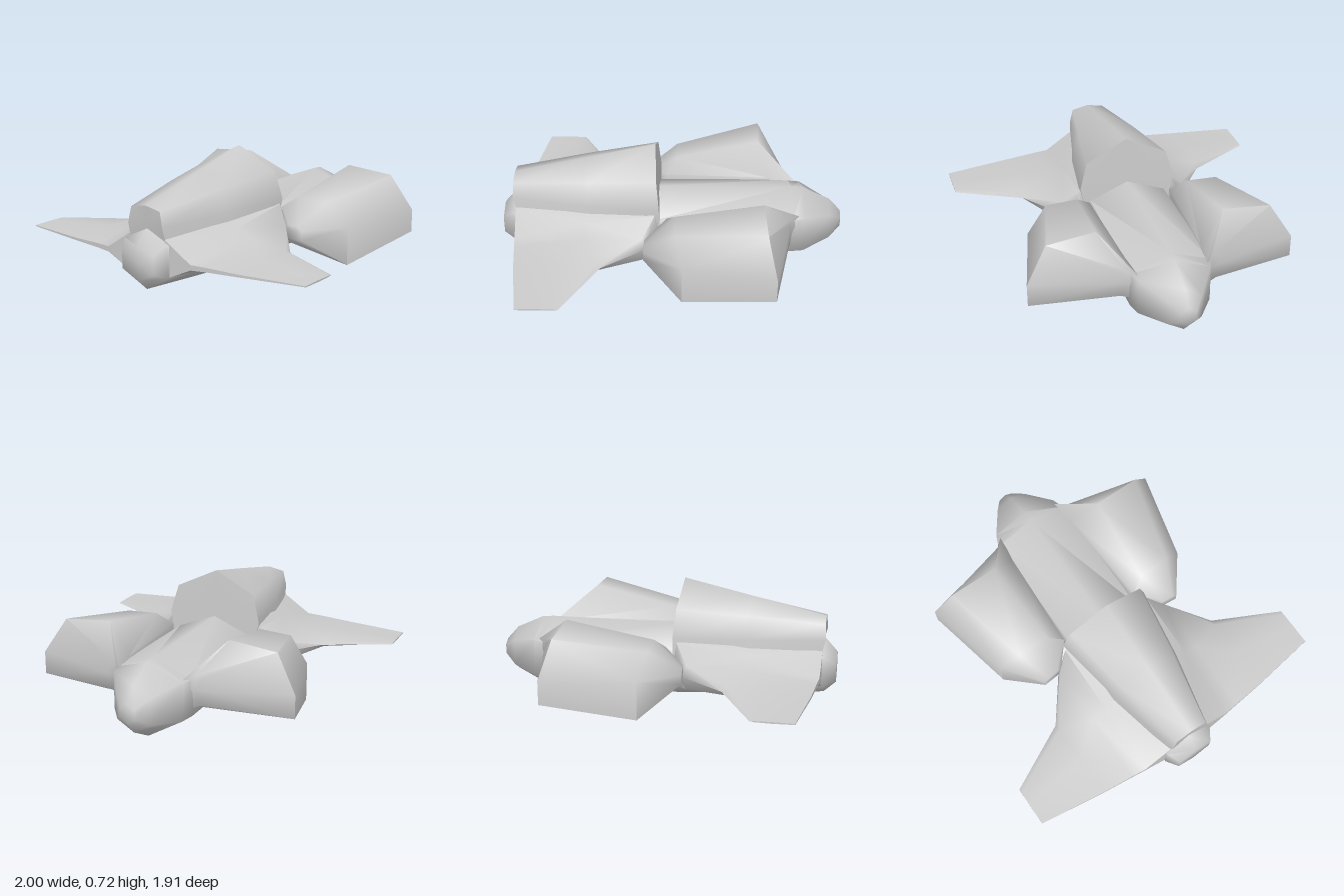
import * as THREE from 'three';
import { toCreasedNormals } from 'three/addons/utils/BufferGeometryUtils.js';

const material = new THREE.MeshStandardMaterial({ color: 0xcccccc });

// Closed skin through rings of [x, y, z] points; side = -1 mirrors it in z.
function loft(name, rings, side = 1, crease = 1.2) {
  const n = rings[0].length;
  const points = rings.flat().map(([x, y, z]) => new THREE.Vector3(x, y, z * side));
  let faces = [];
  for (let r = 0; r < rings.length - 1; r++) {
    for (let i = 0; i < n; i++) {
      const a = r * n + i, b = r * n + (i + 1) % n;
      faces.push([a, b, a + n], [b, b + n, a + n]);
    }
  }
  // End caps as fans around their centres
  const cap = (start, flip) => {
    const centre = new THREE.Vector3();
    for (let i = 0; i < n; i++) centre.addScaledVector(points[start + i], 1 / n);
    const c = points.push(centre) - 1;
    for (let i = 0; i < n; i++) {
      const a = start + i, b = start + (i + 1) % n;
      faces.push(flip ? [c, b, a] : [c, a, b]);
    }
  };
  cap(0, true);
  cap((rings.length - 1) * n, false);

  // Turn the skin outwards if its signed volume is negative
  let volume = 0;
  for (const [a, b, c] of faces) volume += points[a].dot(points[b].clone().cross(points[c]));
  if (volume < 0) faces = faces.map(([a, b, c]) => [a, c, b]);

  const geometry = new THREE.BufferGeometry().setFromPoints(points);
  geometry.setIndex(faces.flat());
  const mesh = new THREE.Mesh(toCreasedNormals(geometry, crease), material);
  mesh.name = name;
  return mesh;
}

// Six-sided fuselage section: ridge, keel and two shoulders
const hullRing = (x, top, shoulder, lower, keel, w) => [
  [x, top, 0], [x, shoulder, w], [x, lower, w],
  [x, keel, 0], [x, lower, -w], [x, shoulder, -w],
];

// Hood section, leaning with x per level
const hoodRing = (ridge, edge, flank, foot) => {
  const half = [edge, flank, foot];
  return [ridge, ...half, ...half.map(([x, y, z]) => [x, y, -z]).reverse()];
};

// Wing section at a given span: nose, upper, trailing and lower points
const wingRing = (z, points) => points.map(([x, y]) => [x, y, z]);

export function createModel() {
  const model = new THREE.Group();
  model.name = 'spacecraft';

  model.add(loft('fuselage', [
    hullRing(-1, 0.32, 0.28, 0.18, 0.13, 0.11),
    hullRing(-0.93, 0.4, 0.33, 0.15, 0.065, 0.15),
    hullRing(-0.5, 0.42, 0.34, 0.15, 0.03, 0.2),
    hullRing(-0.08, 0.44, 0.35, 0.14, 0, 0.23),
    hullRing(0.7, 0.44, 0.35, 0.14, 0, 0.235),
    hullRing(0.77, 0.435, 0.35, 0.13, 0.005, 0.21),
    hullRing(0.93, 0.36, 0.3, 0.15, 0.09, 0.1),
    hullRing(1, 0.28, 0.255, 0.2, 0.17, 0.045),
  ]));

  // Tall hood over the rear body
  model.add(loft('hood', [
    hoodRing([-0.93, 0.53, 0], [-0.93, 0.51, 0.1], [-0.935, 0.42, 0.12], [-0.89, 0.25, 0.13]),
    hoodRing([-0.5, 0.63, 0], [-0.5, 0.56, 0.18], [-0.5, 0.43, 0.22], [-0.5, 0.25, 0.24]),
    hoodRing([-0.1, 0.72, 0], [-0.09, 0.6, 0.245], [-0.075, 0.44, 0.29], [-0.07, 0.25, 0.25]),
  ]));

  for (const side of [1, -1]) {
    const sideName = side > 0 ? 'front' : 'rear';

    // Swept wing, thick at the root and thin at the tip
    model.add(loft(sideName + 'SideWing', [
      wingRing(0.12, [[-0.08, 0.3], [-0.1, 0.45], [-0.5, 0.42], [-0.92, 0.36], [-0.92, 0.14], [-0.5, 0.1], [-0.1, 0.1]]),
      wingRing(0.29, [[-0.08, 0.28], [-0.1, 0.41], [-0.5, 0.36], [-0.915, 0.25], [-0.915, 0.22], [-0.5, 0.15], [-0.1, 0.15]]),
      wingRing(0.38, [[-0.15, 0.24], [-0.17, 0.31], [-0.5, 0.31], [-0.905, 0.25], [-0.905, 0.225], [-0.5, 0.18], [-0.17, 0.17]]),
      wingRing(0.57, [[-0.4, 0.24], [-0.44, 0.26], [-0.65, 0.265], [-0.885, 0.245], [-0.885, 0.23], [-0.65, 0.215], [-0.44, 0.22]]),
      wingRing(0.955, [[-0.595, 0.24], [-0.62, 0.243], [-0.7, 0.245], [-0.83, 0.243], [-0.83, 0.237], [-0.7, 0.235], [-0.62, 0.237]]),
    ], side));

    // Faceted pod: blunt tail, widening to a raked front face
    model.add(loft(sideName + 'SidePod', [
      [[-0.15, 0.3, 0.36], [-0.155, 0.315, 0.39], [-0.16, 0.315, 0.45], [-0.16, 0.29, 0.48], [-0.16, 0.235, 0.48], [-0.15, 0.235, 0.37]],
      [[-0.03, 0.37, 0.25], [0.02, 0.44, 0.34], [0.02, 0.43, 0.53], [0.06, 0.29, 0.65], [0.06, 0.07, 0.65], [0, 0.165, 0.26]],
      [[0.58, 0.37, 0.22], [0.52, 0.54, 0.37], [0.53, 0.515, 0.655], [0.58, 0.31, 0.78], [0.58, 0.175, 0.78], [0.63, 0.17, 0.25]],
      [[0.75, 0.35, 0.19], [0.69, 0.37, 0.25], [0.68, 0.35, 0.28], [0.68, 0.29, 0.3], [0.68, 0.2, 0.28], [0.7, 0.17, 0.19]],
    ], side, 1.3));
  }
  return model;
}
